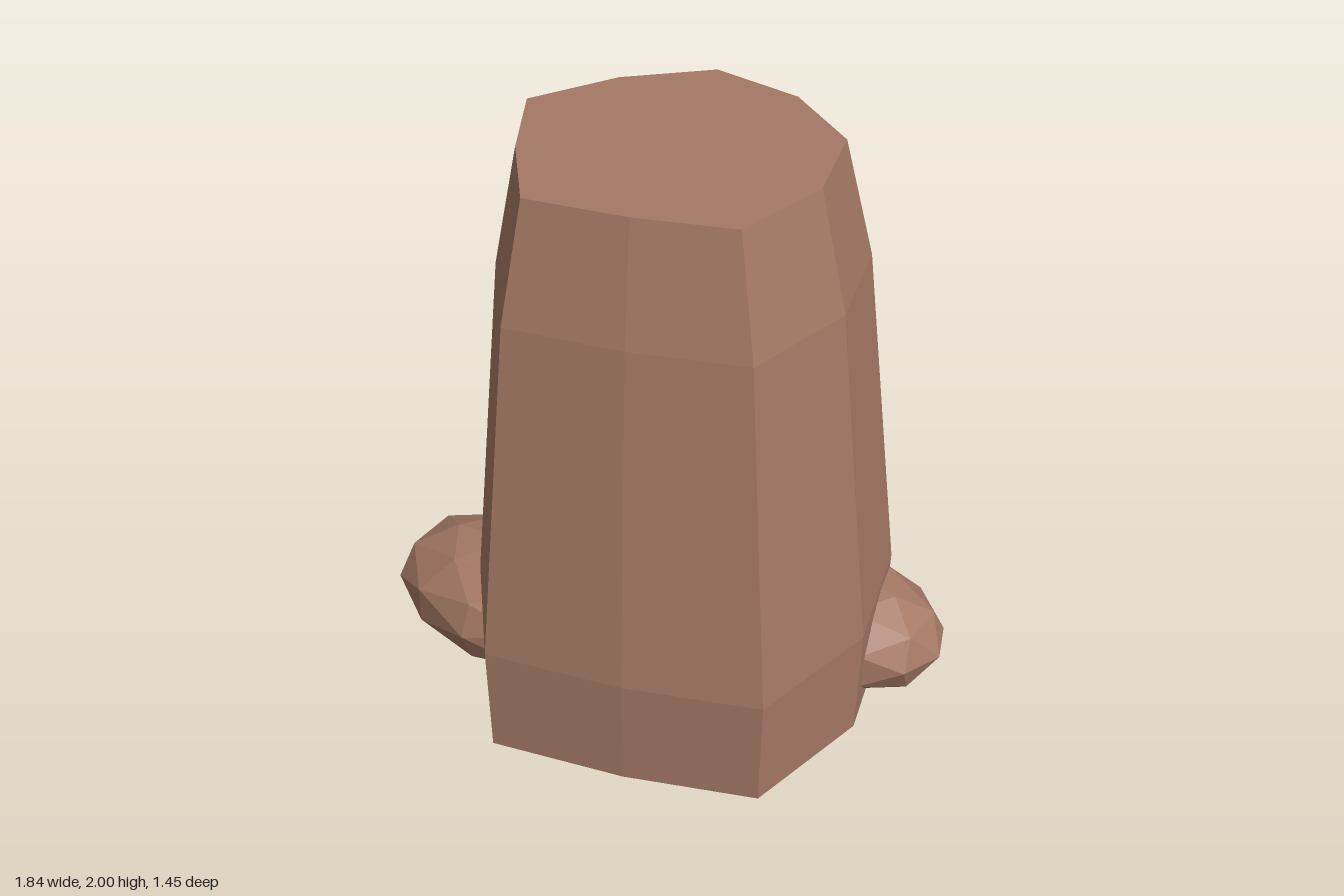
import * as THREE from 'three';

const bark = new THREE.MeshStandardMaterial({ color: 0xa57965, flatShading: true });
bark.name = 'bark';

// Uneven ten-sided outline of the trunk, as x, z at its widest ring
const outline = [
  [0.77, -0.02], [0.64, -0.45], [0.26, -0.69], [-0.18, -0.73], [-0.5, -0.42],
  [-0.71, -0.02], [-0.48, 0.37], [-0.19, 0.72], [0.26, 0.61], [0.68, 0.45],
];
// Height and outline scale of each ring, bottom to top
const rings = [[0.05, 0.985], [0.44, 1], [1.61, 0.828], [2, 0.705]];

function trunkGeometry() {
  const n = outline.length;
  const pos = [];
  const point = (r, i) => {
    const [y, s] = rings[r];
    const [x, z] = outline[i % n];
    return [x * s, y, z * s];
  };
  const tri = (a, b, c) => pos.push(...a, ...b, ...c);
  const last = rings.length - 1;
  for (let i = 0; i < n; i++) {
    for (let r = 0; r < last; r++) {
      const a = point(r, i), b = point(r, i + 1), c = point(r + 1, i + 1), d = point(r + 1, i);
      tri(a, b, c);
      tri(a, c, d);
    }
    // Flat caps
    tri([0, rings[last][0], 0], point(last, i), point(last, i + 1));
    tri([0, rings[0][0], 0], point(0, i + 1), point(0, i));
  }
  const geometry = new THREE.BufferGeometry();
  geometry.setAttribute('position', new THREE.Float32BufferAttribute(pos, 3));
  geometry.computeVertexNormals();
  return geometry;
}

// Faceted lump at the foot of the trunk
function root(name, center, size) {
  const geometry = new THREE.IcosahedronGeometry(1, 1);
  geometry.scale(...size);
  const mesh = new THREE.Mesh(geometry, bark);
  mesh.name = name;
  mesh.position.set(...center);
  return mesh;
}

export function createModel() {
  const model = new THREE.Group();
  model.name = 'treeStump';
  const trunk = new THREE.Mesh(trunkGeometry(), bark);
  trunk.name = 'trunk';
  model.add(
    trunk,
    root('leftRoot', [0.535, 0.22, -0.305], [0.38, 0.21, 0.27]),
    root('rightRoot', [-0.47, 0.22, 0.195], [0.457, 0.217, 0.307]),
  );
  return model;
}
